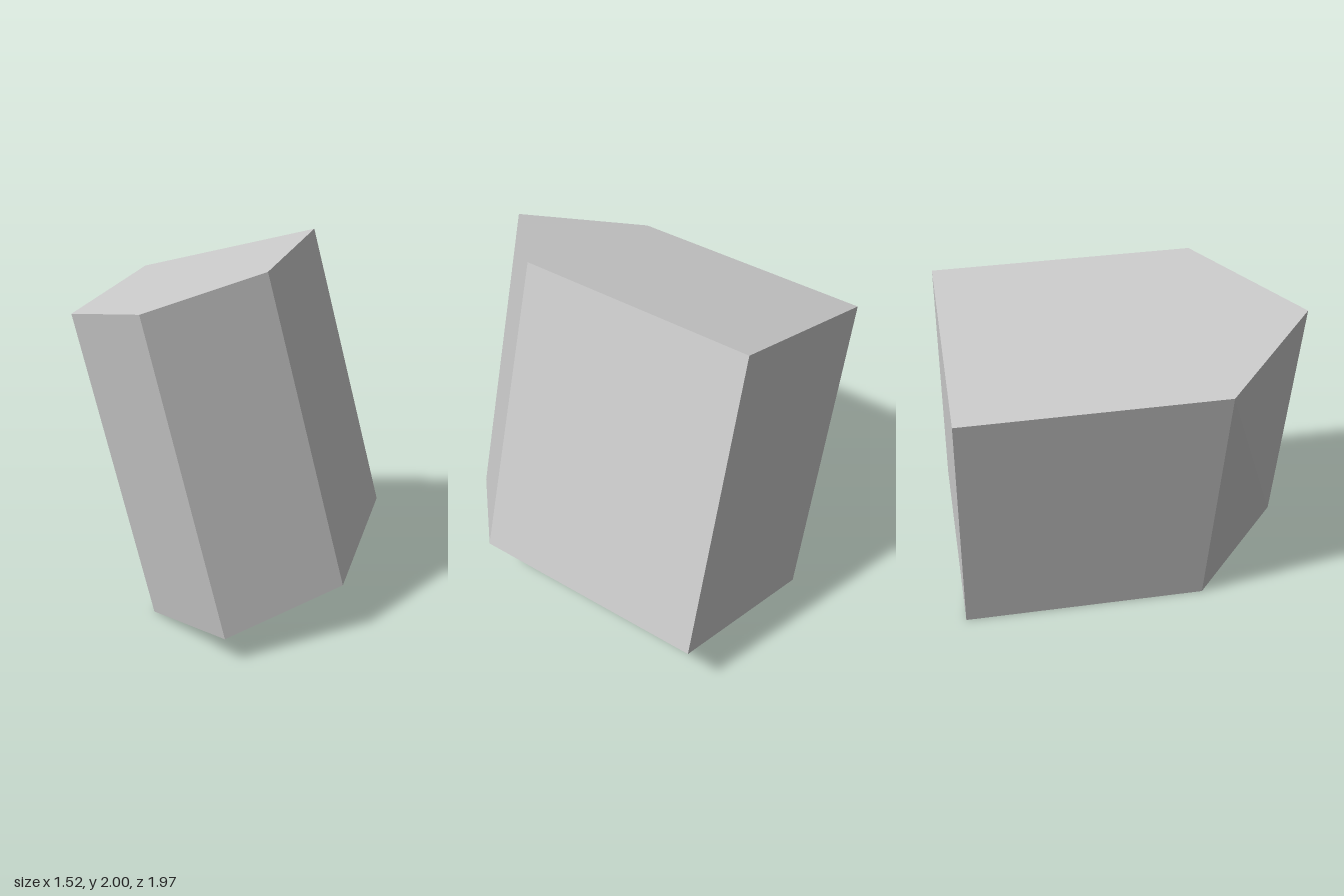
import * as THREE from 'three';

export function createModel() {
  const group = new THREE.Group();
  const halfWidth = 0.56, height = 1.78, sideZ = 0.45, ridgeZ = 0.985, backZ = -0.985;

  // House-shaped footprint, drawn as (x, -z)
  const footprint = new THREE.Shape([
    [-halfWidth, -backZ], [-halfWidth, -sideZ], [0, -ridgeZ],
    [halfWidth, -sideZ], [halfWidth, -backZ],
  ].map(([x, y]) => new THREE.Vector2(x, y)));

  // Upright prism, leaned towards the right
  const geometry = new THREE.ExtrudeGeometry(footprint, { depth: height, bevelEnabled: false });
  geometry.rotateX(-Math.PI / 2);
  geometry.translate(0, -height / 2, 0);
  geometry.rotateZ(THREE.MathUtils.degToRad(14.25));
  geometry.translate(0, 1, 0);

  // The two front side edges run very slightly out of parallel
  const pos = geometry.attributes.position;
  for (let i = 0; i < pos.count; i++) {
    if (Math.abs(pos.getZ(i) - sideZ) < 0.01) pos.setZ(i, 0.429 + 0.034 * Math.abs(pos.getX(i)));
  }
  geometry.computeVertexNormals();

  const prism = new THREE.Mesh(geometry, new THREE.MeshStandardMaterial({ color: 0xcccccc, flatShading: true }));
  prism.name = 'leaningPrism';
  group.add(prism);
  return group;
}
